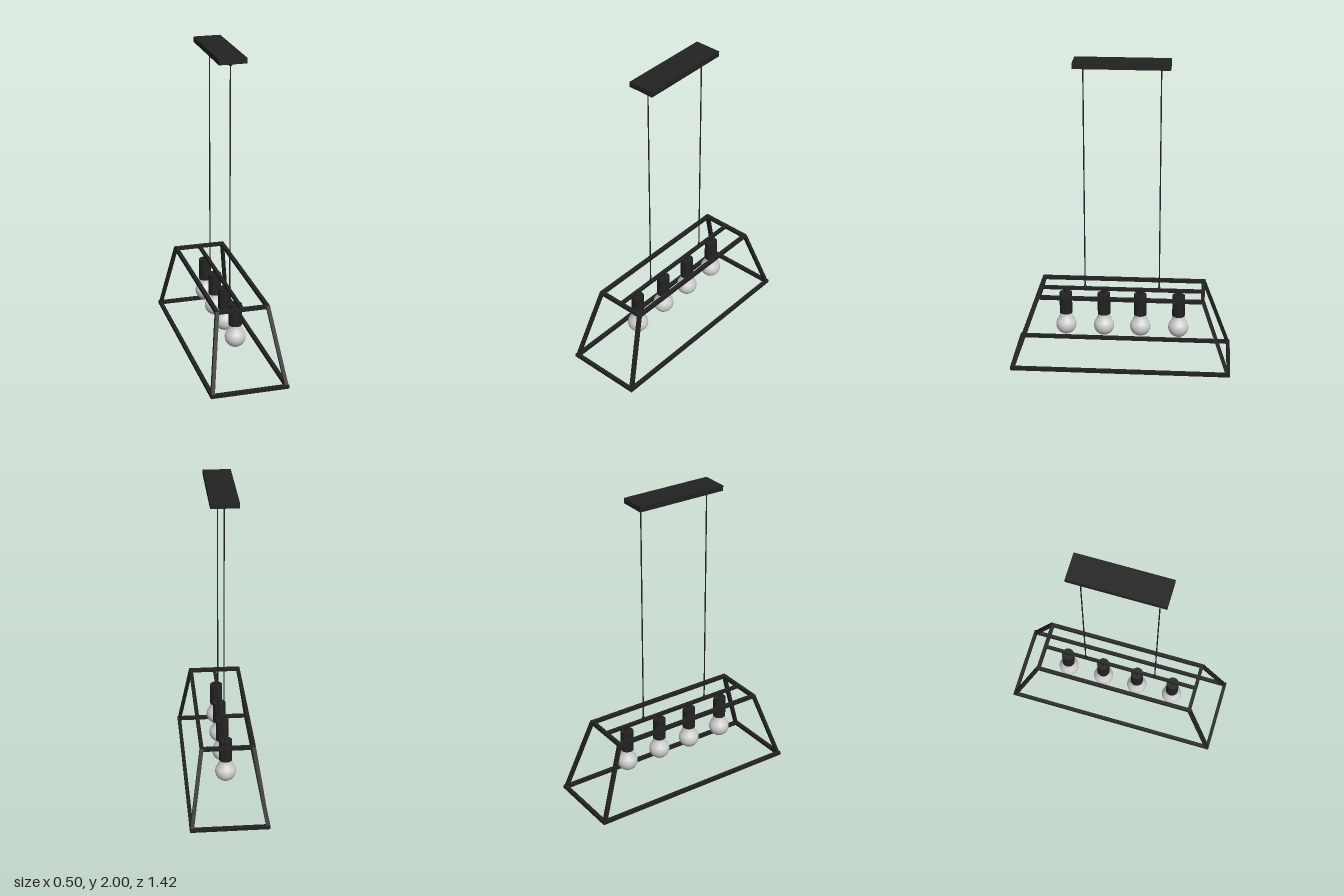
import * as THREE from 'three';

export function createModel() {
  const model = new THREE.Group();
  model.name = 'pendantLamp';
  const black = new THREE.MeshStandardMaterial({ color: 0x222222 });
  black.name = 'matteBlack';
  const glass = new THREE.MeshStandardMaterial({ color: 0xd2d2d2 });
  glass.name = 'paleGlass';

  const add = (name, geometry, material, x, y, z, parent = model) => {
    const mesh = new THREE.Mesh(geometry, material);
    mesh.name = name;
    mesh.position.set(x, y, z);
    parent.add(mesh);
    return mesh;
  };
  const box = (name, w, h, d, x, y, z, parent) =>
    add(name, new THREE.BoxGeometry(w, h, d), black, x, y, z, parent);
  const rod = (name, rTop, rBottom, y0, y1, z, parent, sides = 24) =>
    add(name, new THREE.CylinderGeometry(rTop, rBottom, y1 - y0, sides), black, 0, (y0 + y1) / 2, z, parent);

  // Tapered open frame: bottom and top rectangles of square bar
  const T = 0.023, H = 0.495;
  const bottom = { name: 'bottom', x: 0.238, z: 0.697, y: T / 2 };
  const top = { name: 'top', x: 0.161, z: 0.523, y: H - T / 2 };
  const frame = new THREE.Group();
  frame.name = 'frame';
  model.add(frame);
  for (const r of [bottom, top]) {
    for (const s of [-1, 1]) {
      box(r.name + 'SideRail', T, T, 2 * r.z + T, s * r.x, r.y, 0, frame);
      box(r.name + 'EndRail', 2 * r.x - T, T, T, 0, r.y, s * r.z, frame);
    }
  }
  box('centreRail', T * 0.9, T * 0.9, 2 * top.z - T, 0, top.y, 0, frame);

  // Slanted corner posts: boxes sheared from the bottom corner to the top one
  for (const sx of [-1, 1]) for (const sz of [-1, 1]) {
    const geo = new THREE.BoxGeometry(T, H - 0.002, T);
    const p = geo.attributes.position;
    for (let i = 0; i < p.count; i++) {
      const end = p.getY(i) > 0 ? top : bottom;
      p.setX(i, p.getX(i) + sx * end.x);
      p.setZ(i, p.getZ(i) + sz * end.z);
    }
    geo.computeVertexNormals();
    add('cornerPost', geo, black, 0, H / 2, 0, frame);
  }

  // Ceiling plate with two hanging cords and their grips
  box('ceilingPlate', 0.174, 0.034, 0.6, 0, 1.983, 0);
  for (const z of [-0.24, 0.24]) {
    rod('cord', 0.004, 0.004, 0.48, 1.97, z, model, 12);
    rod('plateGrip', 0.011, 0.011, 1.945, 1.967, z);
    rod('frameGrip', 0.005, 0.011, 0.49, 0.515, z);
  }

  // Bulb profile: rounded globe flowing into a neck
  const globe = [];
  const R = 0.066, cy = 0.227;
  for (let i = 0; i <= 18; i++) {
    const a = -Math.PI / 2 + (i / 18) * 2.18;
    globe.push(new THREE.Vector2(Math.max(0, R * Math.cos(a)), cy + R * Math.sin(a)));
  }
  globe.push(new THREE.Vector2(0.045, 0.283), new THREE.Vector2(0.039, 0.297), new THREE.Vector2(0.037, 0.315));
  const bulbGeometry = new THREE.LatheGeometry(globe, 36);

  // Four sockets with bulbs under the centre rail
  for (const z of [-0.367, -0.1185, 0.1185, 0.367]) {
    const light = new THREE.Group();
    light.name = 'bulbHolder';
    model.add(light);
    rod('stem', 0.011, 0.011, 0.445, 0.478, z, light);
    rod('socket', 0.041, 0.041, 0.31, 0.452, z, light, 32);
    add('bulb', bulbGeometry, glass, 0, 0, z, light);
  }
  return model;
}
